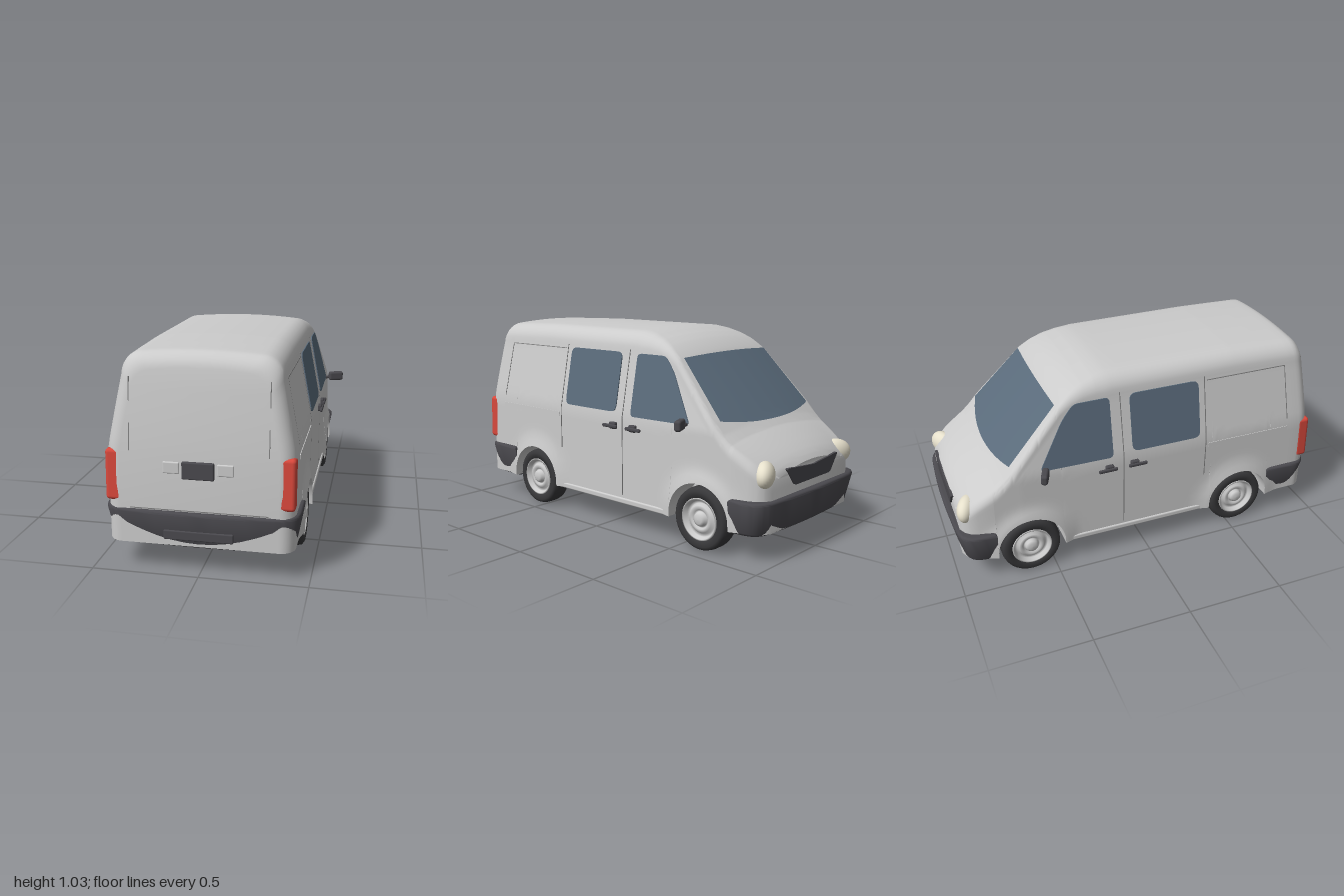
import * as THREE from 'three';
import { toCreasedNormals } from 'three/addons/utils/BufferGeometryUtils.js';
import { RoundedBoxGeometry } from 'three/addons/geometries/RoundedBoxGeometry.js';

const mat = (color, side = THREE.FrontSide) => new THREE.MeshStandardMaterial({ color, side });
const paint = mat(0xcccccc), dark = mat(0x4a494e), rubber = mat(0x38383a), seamGrey = mat(0x808080);
const glass = mat(0x5a6b7b, THREE.DoubleSide), red = mat(0xd8483c), lamp = mat(0xe6e0cc);

const FLOOR = 0.14, ARCH = 0.175, WHEEL_Y = 0.16, WHEEL_Z = [0.545, -0.625], TAIL = 0.975, ROUND = 0.07;
const clamp = THREE.MathUtils.clamp;

// Linear interpolation through [z, value] pairs, z descending
function along(table, z) {
  if (z >= table[0][0]) return table[0][1];
  for (let i = 1; i < table.length; i++) {
    const [z0, a] = table[i - 1], [z1, b] = table[i];
    if (z >= z1) return a + (b - a) * (z0 - z) / (z0 - z1);
  }
  return table[table.length - 1][1];
}
const ROOF = [[0.93, 1.02], [0.5, 1.03], [-0.16, 1.027], [-0.24, 1.016], [-0.31, 0.997], [-0.37, 0.97], [-0.435, 0.925],
  [-0.74, 0.605], [-0.78, 0.57], [-0.88, 0.51], [-0.93, 0.47], [-0.95, 0.45], [-0.965, 0.43]];
const PLAN = [[-0.65, 1], [-0.8, 0.985], [-0.88, 0.955], [-0.92, 0.92], [-0.945, 0.87], [-0.965, 0.78]];
const CORNER_H = [[-0.2, 0.1], [-0.42, 0.055], [-0.965, 0.05]];
const CORNER_W = [[-0.2, 0.1], [-0.42, 0.035], [-0.8, 0.035], [-0.965, 0.06]];
const CROWN = [[-0.2, 0.012], [-0.45, 0.025], [-0.965, 0.04]];

// Half-width of the body side, with swollen wheel arches
function halfWidth(y, z) {
  const side = y < 0.58 ? 0.43 : 0.43 - 0.195 * (y - 0.58);
  let flare = 0;
  for (const c of WHEEL_Z) flare += 0.02 * Math.exp(-(((Math.hypot(z - c, y - WHEEL_Y) - 0.17) / 0.05) ** 2));
  return side * along(PLAN, z) + flare;
}
function tailInset(z) {
  const d = Math.max(0, z - (TAIL - ROUND));
  return ROUND - Math.sqrt(Math.max(0, ROUND * ROUND - d * d));
}
const lean = (y, z) => z - 0.055 * clamp((y - 0.3) / 0.7, 0, 1) ** 2 * clamp((z - 0.7) / 0.2, 0, 1);

// Half cross-section from the floor centre, round the side, to the roof centre
function halfSection(z) {
  const e = tailInset(z), H = along(ROOF, z) - e, ch = along(CORNER_H, z), cw = along(CORNER_W, z), cr = along(CROWN, z);
  let low = FLOOR;
  for (const c of WHEEL_Z) {
    const d = Math.abs(z - c);
    if (d < ARCH - 1e-6) low = Math.max(low, WHEEL_Y + Math.sqrt(ARCH * ARCH - d * d));
  }
  const pts = [[0, FLOOR], [0.31, FLOOR], [0.31, low]], top = H - cr - ch;
  for (let i = 0; i <= 16; i++) {
    const y = low + (top - low) * i / 16;
    pts.push([halfWidth(y, z) - e, y]);
  }
  const w = halfWidth(top, z) - e - cw;
  for (let i = 1; i <= 7; i++) {
    const a = i / 7 * Math.PI / 2;
    pts.push([w + cw * Math.cos(a), top + ch * Math.sin(a)]);
  }
  for (let i = 1; i <= 5; i++) pts.push([w * (1 - i / 5), H - cr * (1 - i / 5) ** 2]);
  return pts;
}

function bodyGeometry() {
  const set = new Set([...ROOF, ...PLAN].map(p => p[0]));
  for (let z = -0.7; z < 0.9; z += 0.05) set.add(+z.toFixed(3));
  for (const c of WHEEL_Z) {
    for (let i = 0; i <= 24; i++) set.add(+(c - ARCH * Math.cos(i / 24 * Math.PI)).toFixed(5));
    set.add(c - ARCH - 0.001).add(c + ARCH + 0.001);
  }
  for (let i = 0; i <= 7; i++) set.add(TAIL - ROUND + ROUND * Math.sin(i / 7 * Math.PI / 2));
  const zs = [...set].sort((a, b) => a - b), pos = [], idx = [];
  let M = 0;
  for (const z of zs) {
    const half = halfSection(z);
    const ring = [...half, ...half.slice(0, -1).reverse().map(([x, y]) => [-x, y])];
    M = ring.length;
    for (const [x, y] of ring) pos.push(x, y, lean(y, z));
  }
  for (let i = 0; i < zs.length - 1; i++) for (let j = 0; j < M - 1; j++) {
    const a = i * M + j, c = a + M;
    idx.push(a, a + 1, c, a + 1, c + 1, c);
  }
  // Tail and nose faces, in strips from side to side
  const last = (zs.length - 1) * M;
  for (let j = 0; j < (M - 1) / 2; j++) {
    const k = M - 1 - j;
    idx.push(last + j, last + j + 1, last + k - 1, last + j, last + k - 1, last + k);
    idx.push(j, k - 1, j + 1, j, k, k - 1);
  }
  const g = new THREE.BufferGeometry();
  g.setAttribute('position', new THREE.Float32BufferAttribute(pos, 3));
  g.setIndex(idx);
  return toCreasedNormals(g, 0.55);
}

// Closed polygon with softened corners
function softShape(pts, r) {
  const s = new THREE.Shape(), v = pts.map(p => new THREE.Vector2(...p)), n = v.length;
  v.forEach((p, i) => {
    const toward = q => p.clone().add(q.clone().sub(p).setLength(r));
    const a = toward(v[(i + n - 1) % n]), b = toward(v[(i + 1) % n]);
    i ? s.lineTo(a.x, a.y) : s.moveTo(a.x, a.y);
    s.quadraticCurveTo(p.x, p.y, b.x, b.y);
  });
  s.closePath();
  return s;
}

// Thin panel lying on the body side s, outline given as [z, y]
function sidePanel(s, pts, r, thick) {
  const g = new THREE.ExtrudeGeometry(softShape(pts.map(([z, y]) => [-s * z, y]), r),
    { depth: thick, bevelEnabled: false, curveSegments: 5 });
  const p = g.attributes.position;
  for (let i = 0; i < p.count; i++) {
    const z = -s * p.getX(i), y = p.getY(i);
    p.setXYZ(i, s * (halfWidth(y, z) + p.getZ(i) - 0.001), y, lean(y, z));
  }
  g.computeVertexNormals();
  return g;
}
const rect = (z0, z1, y0, y1) => [[z0, y0], [z1, y0], [z1, y1], [z0, y1]];

function windscreenGeometry() {
  const g = new THREE.PlaneGeometry(1, 1, 16, 16), p = g.attributes.position;
  for (let i = 0; i < p.count; i++) {
    const u = p.getX(i) * 2, v = 0.5 - p.getY(i);
    const z = THREE.MathUtils.lerp(-0.455 + 0.012 * u * u, -0.75 + 0.055 * u * u, v);
    const top = along(ROOF, z) - along(CROWN, z) - along(CORNER_H, z);
    const x = -u * (0.335 + 0.04 * v), w = halfWidth(top, z) - along(CORNER_W, z);
    p.setXYZ(i, x, along(ROOF, z) - along(CROWN, z) * (x / w) ** 2 + 0.006, z - 0.005);
  }
  g.computeVertexNormals();
  return g;
}

// Wrap-round bumper built towards +z, narrowing at its foot
function bumperGeometry(z0, low, top) {
  const s = new THREE.Shape();
  s.moveTo(-0.45, z0);
  s.lineTo(-0.45, 0.86);
  s.bezierCurveTo(-0.45, 0.95, -0.42, 0.975, -0.34, 0.985);
  s.quadraticCurveTo(0, 1.015, 0.34, 0.985);
  s.bezierCurveTo(0.42, 0.975, 0.45, 0.95, 0.45, 0.86);
  s.lineTo(0.45, z0);
  const b = 0.014;
  const g = new THREE.ExtrudeGeometry(s, { depth: top - low - 2 * b, bevelSize: b, bevelThickness: b, bevelOffset: -b, bevelSegments: 3, curveSegments: 10 });
  g.rotateX(Math.PI / 2).translate(0, top - b, 0);
  const p = g.attributes.position;
  for (let i = 0; i < p.count; i++) {
    const t = clamp((top - 0.05 - p.getY(i)) / (top - low - 0.05), 0, 1);
    p.setX(i, p.getX(i) * (1 - 0.06 * t));
    if (p.getZ(i) > 0.84) p.setZ(i, p.getZ(i) - 0.03 * t);
  }
  return toCreasedNormals(g, 0.6);
}

const lathe = pts => new THREE.LatheGeometry(pts.map(p => new THREE.Vector2(...p)), 40);
function makeWheel() {
  const wheel = new THREE.Group();
  const tyre = lathe([[0.1, -0.05], [0.135, -0.053], [0.15, -0.042], [0.155, -0.02], [0.155, 0.02], [0.15, 0.042], [0.135, 0.053], [0.105, 0.05], [0.098, 0.03]]);
  const rim = lathe([[0.0, -0.045], [0.1, -0.045], [0.1, 0.03], [0.104, 0.05], [0.096, 0.052], [0.088, 0.03], [0.075, 0.026], [0.066, 0.042], [0.05, 0.044], [0.044, 0.034], [0.036, 0.034], [0.032, 0.05], [0.02, 0.057], [0, 0.058]]);
  for (const [name, g, m] of [['tyre', tyre, rubber], ['rim', rim, paint]]) {
    const mesh = new THREE.Mesh(g, m);
    mesh.name = name;
    wheel.add(mesh);
  }
  return wheel;
}

export function createModel() {
  const van = new THREE.Group();
  van.name = 'van';
  const add = (name, g, m, x = 0, y = 0, z = 0, ry = 0, rx = 0) => {
    const mesh = new THREE.Mesh(g, m);
    mesh.name = name;
    mesh.position.set(x, y, z);
    mesh.rotation.set(rx, ry, 0);
    van.add(mesh);
    return mesh;
  };
  const box = (w, h, d, r) => new RoundedBoxGeometry(w, h, d, 3, r);

  add('body', bodyGeometry(), paint);
  add('windscreen', windscreenGeometry(), glass);
  add('rearBumper', bumperGeometry(0.72, 0.13, 0.305), dark);
  add('rearBumperStep', box(0.32, 0.045, 0.02, 0.006), dark, 0, 0.195, 0.981);
  add('frontBumper', bumperGeometry(0.8, 0.13, 0.295), dark, 0, 0, 0, Math.PI);

  // Nose
  const grille = softShape([[-0.23, 0.425], [-0.16, 0.335], [0.16, 0.335], [0.23, 0.425], [0, 0.405]], 0.015);
  add('grille', new THREE.ExtrudeGeometry(grille, { depth: 0.014, bevelEnabled: false }), dark, 0, 0, -0.975);

  // Tail doors
  add('plateHolder', box(0.146, 0.08, 0.03, 0.006), dark, 0, 0.5, 0.968);
  add('tailDoorSeam', new THREE.BoxGeometry(0.63, 0.004, 0.006), seamGrey, 0, 0.31, 0.974);

  for (const s of [1, -1]) {
    // Side glass, seams and sliding rail
    add('slidingDoorWindow', sidePanel(s, rect(0.3, -0.075, 0.605, 0.905), 0.035, 0.006), glass);
    add('cabWindow', sidePanel(s, [[-0.18, 0.595], [-0.18, 0.905], [-0.365, 0.905], [-0.43, 0.83], [-0.56, 0.6]], 0.025, 0.006), glass);
    for (const [z0, z1, y0, y1] of [[0.337, 0.333, 0.36, 0.58], [0.337, 0.333, 0.58, 0.92], [-0.122, -0.126, 0.18, 0.58],
      [-0.122, -0.126, 0.58, 0.92], [0.83, 0.826, 0.6, 0.9], [0.83, 0.35, 0.896, 0.9]])
      add('panelSeam', sidePanel(s, rect(z0, z1, y0, y1), 0.001, 0.003), seamGrey);
    add('slidingRail', sidePanel(s, rect(0.83, 0.35, 0.53, 0.557), 0.005, 0.004), paint);
    add('sill', box(0.02, 0.03, 0.76, 0.008), paint, s * 0.428, 0.15, -0.04);

    // Door handles
    for (const [z, d] of [[-0.055, 1], [-0.215, -1]]) {
      add('doorHandle', box(0.014, 0.018, 0.1, 0.006), dark, s * 0.45, 0.535, z);
      add('handleMount', box(0.024, 0.036, 0.045, 0.008), dark, s * 0.437, 0.537, z - d * 0.012);
    }

    // Mirrors
    add('mirrorArm', box(0.08, 0.016, 0.022, 0.006), dark, s * 0.45, 0.603, -0.545, s * 0.35);
    add('mirror', box(0.085, 0.052, 0.034, 0.012), dark, s * 0.488, 0.61, -0.552, s * 0.4);

    // Lamps
    const light = add('headlamp', new THREE.SphereGeometry(1, 28, 18), lamp, s * 0.318, 0.4, -0.91, s * 0.5);
    light.scale.set(0.088, 0.066, 0.05);
    add('tailLamp', box(0.078, 0.24, 0.07, 0.018), red, s * 0.392, 0.455, 0.935, 0, -0.04);
    add('tailHandleRecess', box(0.076, 0.055, 0.014, 0.006), paint, s * 0.123, 0.508, 0.968);
    add('tailDoorSeam', new THREE.BoxGeometry(0.004, 0.33, 0.006), seamGrey, s * 0.315, 0.74, 0.95, 0, -0.1);

    // Wheels
    for (const z of WHEEL_Z) {
      const wheel = makeWheel();
      wheel.name = z > 0 ? 'rearWheel' : 'frontWheel';
      wheel.position.set(s * 0.382, 0.158, z);
      wheel.rotation.z = -s * Math.PI / 2;
      van.add(wheel);
    }
  }

  // Exhaust
  const path = new THREE.CatmullRomCurve3([[-0.15, 0.13, 0.8], [0.05, 0.122, 0.8], [0.14, 0.118, 0.74], [0.17, 0.112, 0.78]].map(p => new THREE.Vector3(...p)));
  add('exhaustPipe', new THREE.TubeGeometry(path, 24, 0.01, 8), dark);
  add('exhaustTip', new THREE.CylinderGeometry(0.02, 0.02, 0.1, 16), dark, 0.175, 0.117, 0.82, 0, Math.PI / 2);
  return van;
}
